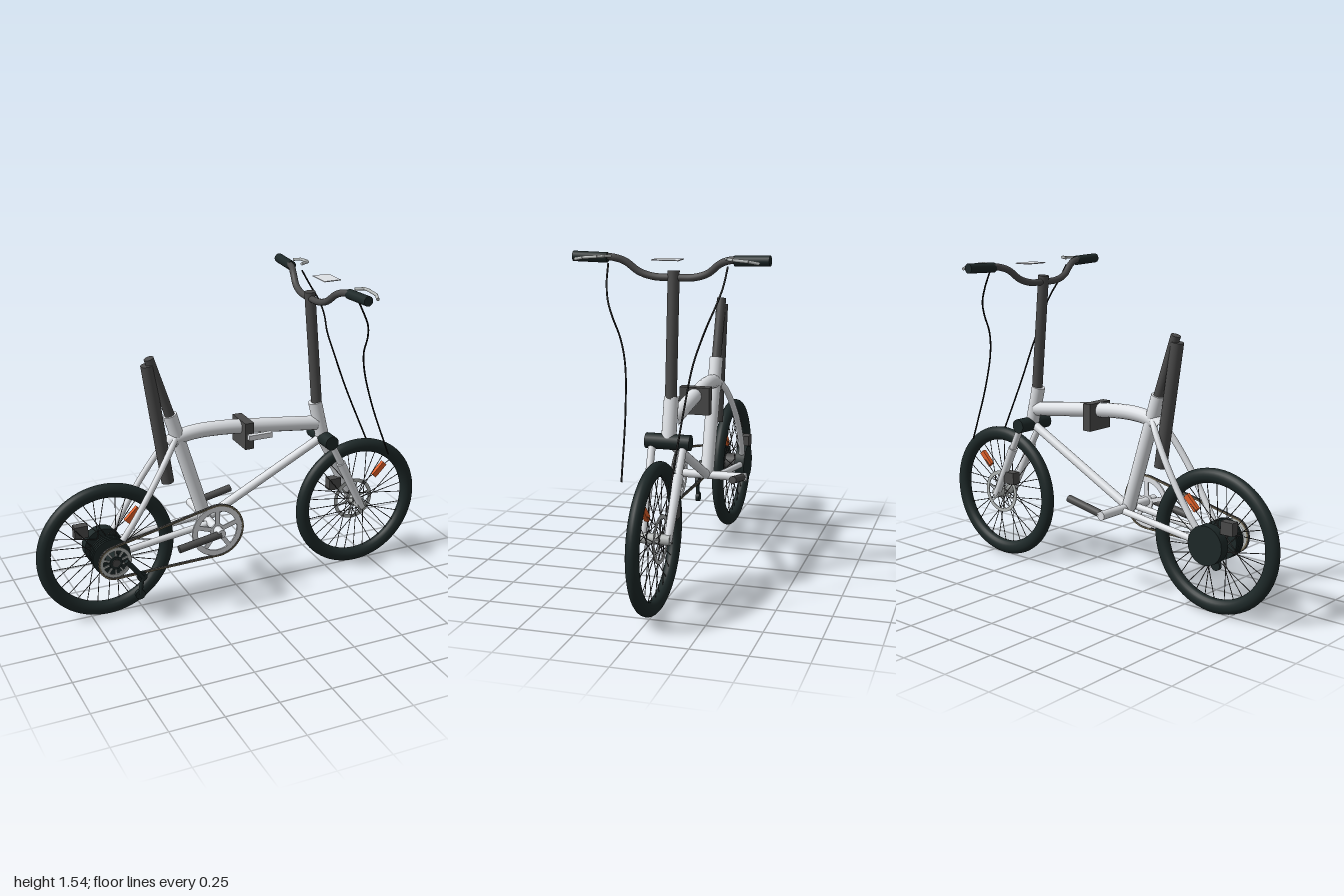
import * as THREE from 'three';
import { mergeGeometries } from 'three/addons/utils/BufferGeometryUtils.js';

const mat = (name, color) => Object.assign(new THREE.MeshStandardMaterial({ color }), { name });
const V = (p) => new THREE.Vector3(...p);

export function createModel() {
  const silver = mat('silver paint', 0xdfe2e6);
  const dark = mat('dark grey', 0x4a4a4a);
  const rubber = mat('black rubber', 0x1d2828);
  const steel = mat('steel', 0xb4b8b7);
  const wire = mat('spoke wire', 0x444444);
  const black = mat('cable black', 0x141414);
  const brass = mat('chain', 0x746a54);
  const orange = mat('orange reflector', 0xe4622a);

  const model = new THREE.Group();
  model.name = 'foldingBicycle';

  const add = (name, geo, material, pos = [0, 0, 0], parent = model) => {
    const m = new THREE.Mesh(geo, material);
    m.name = name;
    m.position.set(...pos);
    parent.add(m);
    return m;
  };
  // Straight tube geometry between two points
  const rodGeo = (a, b, ra, rb = ra, sides = 20) => {
    const p = V(a), q = V(b), d = q.clone().sub(p);
    const g = new THREE.CylinderGeometry(rb, ra, d.length(), sides);
    g.applyQuaternion(new THREE.Quaternion().setFromUnitVectors(new THREE.Vector3(0, 1, 0), d.normalize()));
    return g.translate(...p.add(q).multiplyScalar(0.5).toArray());
  };
  const rod = (name, a, b, r, material, rb = r) => add(name, rodGeo(a, b, r, rb), material);
  const bent = (name, pts, r, material, n = 40) =>
    add(name, new THREE.TubeGeometry(new THREE.CatmullRomCurve3(pts.map(V)), n, r, 14), material);
  const box = (name, size, pos, material, parent) => add(name, new THREE.BoxGeometry(...size), material, pos, parent);
  const flip = ([x, y, z], s) => [x, y, z * s];
  // Flat ring facing z
  const ringGeo = (ro, ri, depth) => {
    const s = new THREE.Shape().absarc(0, 0, ro, 0, Math.PI * 2);
    s.holes.push(new THREE.Path().absarc(0, 0, ri, 0, Math.PI * 2));
    return new THREE.ExtrudeGeometry(s, { depth, bevelEnabled: false, curveSegments: 40 }).translate(0, 0, -depth / 2);
  };
  // Ring with radial arms and a small centre
  const spider = (name, pos, ro, ri, arms, width, depth, material) => {
    const g = new THREE.Group();
    g.name = name;
    g.position.set(...pos);
    model.add(g);
    add('ring', ringGeo(ro, ri, depth), material, [0, 0, 0], g);
    add('centre', ringGeo(ri * 0.36, 0.008, depth), material, [0, 0, 0], g);
    for (let i = 0; i < arms; i++) {
      const a = (i / arms) * Math.PI * 2 + 0.3, mid = ri * 0.67;
      box('arm', [ri * 0.72, width, depth * 0.8], [mid * Math.cos(a), mid * Math.sin(a), 0], material, g).rotation.z = a;
    }
  };

  // Wheels: tyre, crossed spokes and reflector
  const wheel = (name, x, hubR, lean, reflectorPos) => {
    const g = new THREE.Group();
    g.name = name;
    g.position.set(x, 0.335, 0);
    model.add(g);
    add('tyre', new THREE.TorusGeometry(0.301, 0.034, 20, 72).scale(1, 1, 0.85), rubber, [0, 0, 0], g);
    const spokes = [];
    for (let i = 0; i < 32; i++) {
      const a = (i / 32) * Math.PI * 2, b = a + (i % 4 < 2 ? lean : -lean);
      spokes.push(rodGeo([hubR * Math.cos(b), hubR * Math.sin(b), i % 2 ? 0.03 : -0.03],
        [0.272 * Math.cos(a), 0.272 * Math.sin(a), 0], 0.002, 0.002, 5));
    }
    add('spokes', mergeGeometries(spokes), wire, [0, 0, 0], g);
    box('reflector', [0.085, 0.027, 0.02], reflectorPos, orange, g).rotation.z = Math.PI / 4;
  };
  wheel('frontWheel', 0.665, 0.028, 1.2, [0.13, 0.15, 0]);
  wheel('rearWheel', -0.665, 0.045, 0.9, [0.135, 0.155, 0]);

  // Hubs, front disc and calipers
  rod('frontHub', [0.665, 0.335, -0.07], [0.665, 0.335, 0.07], 0.024, steel);
  rod('rearHub', [-0.665, 0.335, -0.05], [-0.665, 0.335, 0.05], 0.045, dark);
  rod('rearDrum', [-0.665, 0.335, -0.085], [-0.665, 0.335, -0.035], 0.092, rubber);
  for (let i = 0; i < 4; i++)
    rod('cassetteSprocket', [-0.665, 0.335, 0.03 + i * 0.015], [-0.665, 0.335, 0.04 + i * 0.015], 0.092, rubber);
  rod('rearAxle', [-0.665, 0.335, 0], [-0.665, 0.335, 0.15], 0.018, dark);
  spider('frontBrakeDisc', [0.665, 0.335, -0.026], 0.108, 0.09, 6, 0.008, 0.004, steel);
  box('frontCaliper', [0.065, 0.06, 0.045], [0.563, 0.43, -0.052], dark);
  box('rearCaliper', [0.065, 0.06, 0.04], [-0.77, 0.43, -0.05], dark);

  // Frame
  rod('seatTube', [-0.163, 0.4, 0], [-0.333, 0.957, 0], 0.033, silver);
  bent('mainTube', [[-0.35, 0.815, 0], [-0.29, 0.842, 0], [-0.2, 0.855, 0], [-0.08, 0.853, 0],
    [0.04, 0.842, 0], [0.25, 0.818, 0], [0.425, 0.797, 0]], 0.035, silver);
  rod('downTube', [-0.16, 0.4, 0], [0.455, 0.715, 0], 0.021, silver);
  rod('headTube', [0.465, 0.715, 0], [0.418, 0.908, 0], 0.033, silver);
  rod('forkCrown', [0.465, 0.717, -0.102], [0.465, 0.717, 0.102], 0.035, rubber);
  box('frameHinge', [0.045, 0.13, 0.145], [0.038, 0.815, 0], dark);
  box('hingeLever', [0.12, 0.025, 0.024], [0.085, 0.815, 0.086], silver);

  // Fork and rear stays, mirrored
  for (const s of [1, -1]) {
    rod('forkUpper', flip([0.478, 0.7, 0.072], s), flip([0.56, 0.545, 0.065], s), 0.017, silver);
    rod('forkLower', flip([0.535, 0.59, 0.067], s), flip([0.668, 0.325, 0.058], s), 0.023, silver, 0.018);
    rod('chainStay', flip([-0.16, 0.395, 0.05], s), flip([-0.655, 0.336, 0.066], s), 0.016, silver);
    bent('seatStay', [[-0.31, 0.85, 0.015], [-0.355, 0.79, 0.045], [-0.45, 0.645, 0.072],
      [-0.56, 0.47, 0.074], [-0.645, 0.345, 0.06]].map((p) => flip(p, s)), 0.015, silver);
  }

  // Seat post and folded post behind it
  rod('seatPost', [-0.325, 0.93, 0], [-0.428, 1.24, 0], 0.023, dark);
  rod('foldedPost', [-0.35, 0.625, 0], [-0.437, 1.21, 0], 0.03, dark);

  // Steering post, bar and display plate
  rod('steeringPost', [0.428, 0.89, 0], [0.376, 1.458, 0], 0.026, dark);
  const half = [[0.378, 1.43, 0.09], [0.384, 1.45, 0.155], [0.398, 1.495, 0.215], [0.415, 1.513, 0.27], [0.43, 1.515, 0.43]];
  bent('handlebar', [...half.map((p) => flip(p, -1)).reverse(), [0.376, 1.428, 0], ...half], 0.016, dark, 80);
  box('displayPlate', [0.085, 0.004, 0.12], [0.463, 1.513, 0], silver);
  const lever = [[0.465, 1.522, 0.258], [0.505, 1.524, 0.275], [0.514, 1.522, 0.3], [0.514, 1.517, 0.365], [0.498, 1.508, 0.408]];
  for (const s of [1, -1]) {
    rod('grip', flip([0.424, 1.511, 0.285], s), flip([0.432, 1.515, 0.44], s), 0.023, rubber);
    for (let i = 0; i < lever.length - 1; i++)
      rod('brakeLever', flip(lever[i], s), flip(lever[i + 1], s), 0.007, steel);
    bent('brakeCable', [[0.47, 1.49, 0.266], [0.515, 1.41, 0.258], [0.555, 1.335, 0.238], [0.571, 1.27, 0.212],
      [0.573, 1.19, 0.18], [0.598, 1.085, 0.15], [0.66, 0.9, 0.128], [0.78, 0.61, 0.108]].map((p) => flip(p, s)), 0.004, black, 60);
  }

  // Crank axle and arms
  rod('crankAxle', [-0.16, 0.4, -0.2], [-0.16, 0.4, 0.195], 0.021, silver);
  rod('crankArmLeft', [-0.16, 0.395, 0.182], [-0.372, 0.36, 0.184], 0.018, dark);
  rod('crankArmRight', [-0.16, 0.4, -0.182], [0.05, 0.443, -0.184], 0.018, dark);

  // Chainring, rear sprocket and chain
  spider('chainring', [-0.16, 0.395, 0.14], 0.127, 0.1, 5, 0.022, 0.008, silver);
  spider('rearSprocket', [-0.665, 0.335, 0.138], 0.076, 0.06, 10, 0.009, 0.008, steel);
  rod('sprocketBody', [-0.665, 0.335, 0.085], [-0.665, 0.335, 0.145], 0.032, rubber);
  const outline = (k, Kind) => {
    const t0 = 102.4 * Math.PI / 180, t1 = -88.8 * Math.PI / 180;
    return new Kind().absarc(-0.16, 0.395, 0.13 + k, t1, t0).absarc(-0.665, 0.335, 0.08 + k, t0, t1 + Math.PI * 2).closePath();
  };
  const band = outline(0.004, THREE.Shape);
  band.holes.push(outline(-0.004, THREE.Path));
  add('chain', new THREE.ExtrudeGeometry(band, { depth: 0.014, bevelEnabled: false, curveSegments: 32 }),
    [brass, dark], [0, 0, 0.133]);
  const links = outline(0, THREE.Path).getSpacedPoints(120).slice(0, 120)
    .map((p) => new THREE.CylinderGeometry(0.006, 0.006, 0.01, 8).rotateX(Math.PI / 2).translate(p.x, p.y, 0.14));
  add('chainLinks', mergeGeometries(links), dark);

  // Derailleur
  rod('derailleurArm', [-0.62, 0.34, 0.158], [-0.545, 0.245, 0.16], 0.012, rubber);
  rod('derailleurCage', [-0.545, 0.25, 0.16], [-0.56, 0.16, 0.16], 0.01, rubber);
  for (const [x, y] of [[-0.548, 0.248], [-0.56, 0.158]])
    rod('pulley', [x, y, 0.15], [x, y, 0.168], 0.024, rubber);

  return model;
}
